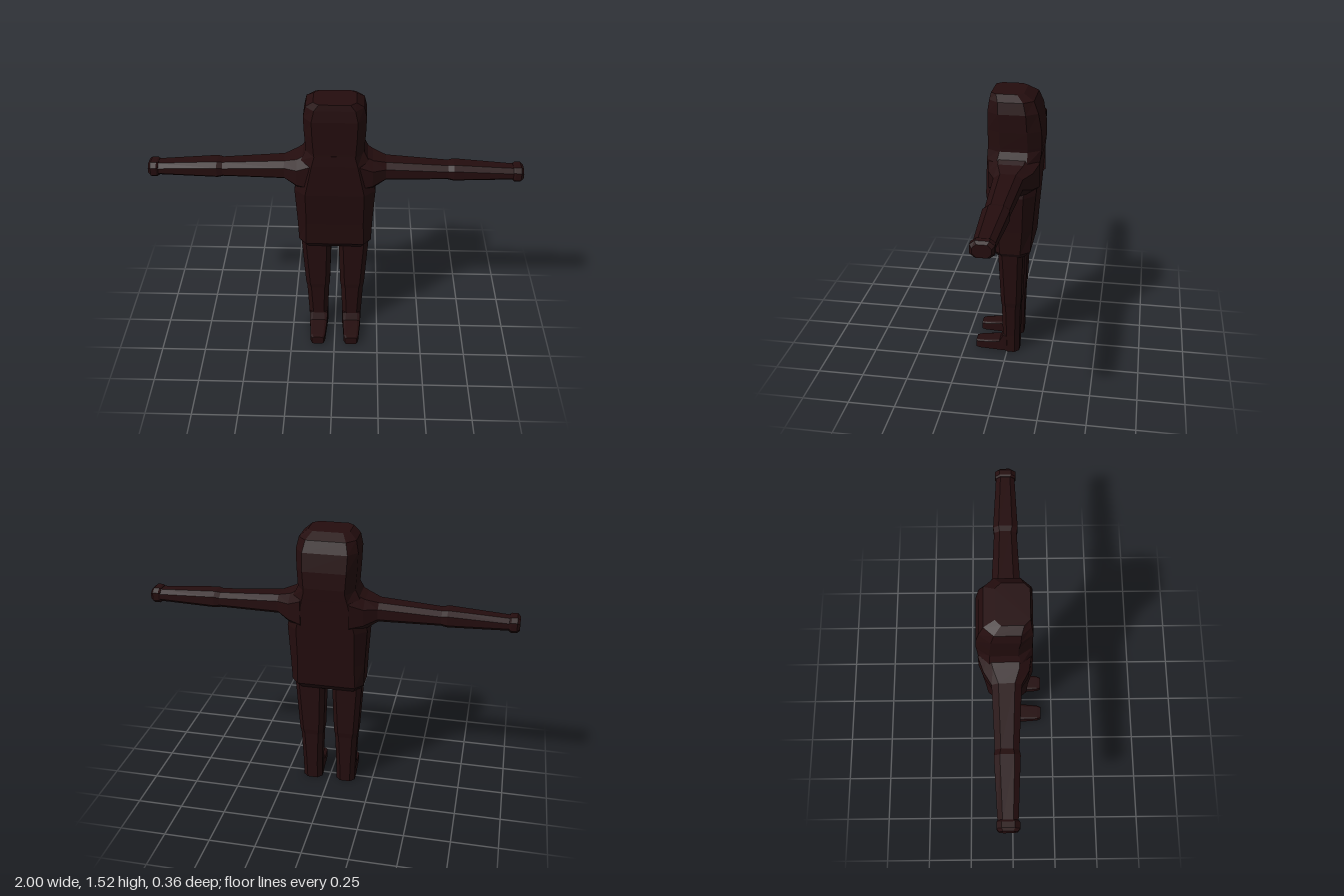
import * as THREE from 'three';

const dark = new THREE.MeshStandardMaterial({ color: 0x240d0e, flatShading: true });
dark.name = 'dark maroon';

// Lofts chamfered rectangles along an axis.
// Section: [t, a0, a1, b0, b1, chamferA, chamferB], where t, a, b are
// y, z, x for axis 'y'; x, y, z for axis 'x'; z, x, y for axis 'z'.
function loft(name, axis, sections) {
  const place = {
    x: (t, a, b) => [t, a, b],
    y: (t, a, b) => [b, t, a],
    z: (t, a, b) => [a, b, t],
  }[axis];
  const pos = [], idx = [];
  const list = [...sections].sort((p, q) => p[0] - q[0]);
  for (const [t, a0, a1, b0, b1, ca, cb] of list) {
    const ring = [
      [a1, b0 + cb], [a1, b1 - cb], [a1 - ca, b1], [a0 + ca, b1],
      [a0, b1 - cb], [a0, b0 + cb], [a0 + ca, b0], [a1 - ca, b0],
    ];
    for (const [a, b] of ring) pos.push(...place(t, a, b));
  }
  const last = (list.length - 1) * 8;
  for (let i = 0; i < last; i += 8) {
    for (let j = 0; j < 8; j++) {
      const k = (j + 1) % 8;
      idx.push(i + j, i + k, i + 8 + k, i + j, i + 8 + k, i + 8 + j);
    }
  }
  for (let j = 1; j < 7; j++) {
    idx.push(0, j + 1, j, last, last + j, last + j + 1);
  }
  const geo = new THREE.BufferGeometry();
  geo.setAttribute('position', new THREE.Float32BufferAttribute(pos, 3));
  geo.setIndex(idx);
  geo.computeVertexNormals();
  const mesh = new THREE.Mesh(geo, dark);
  mesh.name = name;
  return mesh;
}

// Upright section, symmetric in x
const level = (y, z0, z1, w, cz, cx) => [y, z0, z1, -w, w, cz, cx];

export function createModel() {
  const model = new THREE.Group();
  model.name = 'figure';

  // Torso, tapering to the hips and bevelled in at the bottom
  model.add(loft('torso', 'y', [
    level(0.615, -0.09, 0.045, 0.175, 0.03, 0.03),
    level(0.655, -0.13, 0.08, 0.2, 0.05, 0.04),
    level(0.79, -0.14, 0.088, 0.205, 0.05, 0.05),
    level(0.99, -0.157, 0.108, 0.217, 0.06, 0.06),
    level(1.17, -0.172, 0.108, 0.18, 0.06, 0.06),
    level(1.23, -0.179, 0.105, 0.15, 0.07, 0.045),
  ]));

  // Boxy head with a rounded back and crown
  model.add(loft('head', 'y', [
    level(1.18, -0.174, 0.105, 0.152, 0.07, 0.045),
    level(1.24, -0.18, 0.104, 0.154, 0.07, 0.045),
    level(1.33, -0.177, 0.104, 0.16, 0.07, 0.045),
    level(1.425, -0.16, 0.104, 0.163, 0.06, 0.045),
    level(1.485, -0.135, 0.096, 0.15, 0.05, 0.045),
    level(1.517, -0.08, 0.09, 0.11, 0.03, 0.03),
  ]));

  for (const [side, s] of [['left', 1], ['right', -1]]) {
    // Shoulder, upper arm, elbow step, forearm
    const arm = [
      [0.13, 0.98, 1.21, -0.172, 0.1, 0.05, 0.06],
      [0.2, 1.0, 1.17, -0.145, 0.088, 0.04, 0.05],
      [0.27, 1.04, 1.147, -0.103, 0.05, 0.025, 0.035],
      [0.6, 1.042, 1.126, -0.088, 0.034, 0.022, 0.03],
      [0.63, 1.038, 1.132, -0.093, 0.04, 0.022, 0.03],
      [0.96, 1.044, 1.112, -0.076, 0.025, 0.02, 0.025],
    ];
    // Blunt hand, slightly wider than the wrist
    const hand = [
      [0.945, 1.042, 1.116, -0.076, 0.026, 0.02, 0.025],
      [0.955, 1.036, 1.12, -0.082, 0.033, 0.02, 0.025],
      [0.985, 1.036, 1.12, -0.082, 0.033, 0.02, 0.025],
      [1.0, 1.044, 1.108, -0.07, 0.02, 0.02, 0.02],
    ];
    const out = list => list.map(([x, ...rest]) => [s * x, ...rest]);
    model.add(loft(side + 'Arm', 'x', out(arm)), loft(side + 'Hand', 'x', out(hand)));

    // Mirrors an inner and outer x distance to this side
    const span = (inner, outer) => (s > 0 ? [inner, outer] : [-outer, -inner]);
    const leg = [
      [0, -0.068, 0.024, 0.043, 0.15],
      [0.11, -0.07, 0.026, 0.042, 0.153],
      [0.3, -0.075, 0.03, 0.035, 0.162],
      [0.33, -0.08, 0.034, 0.03, 0.168],
      [0.64, -0.09, 0.045, 0.02, 0.187],
    ];
    model.add(loft(side + 'Leg', 'y', leg.map(([y, z0, z1, i, o]) =>
      [y, z0, z1, ...span(i, o), 0.025, 0.025])));

    // Foot wedge from ankle to toe
    const foot = [
      [-0.02, 0.045, 0.15, 0.11, 0.02],
      [0.024, 0.045, 0.15, 0.11, 0.02],
      [0.045, 0.047, 0.148, 0.066, 0.015],
      [0.16, 0.055, 0.14, 0.053, 0.01],
      [0.182, 0.064, 0.131, 0.05, 0.01],
    ];
    model.add(loft(side + 'Foot', 'z', foot.map(([z, i, o, h, c]) =>
      [z, ...span(i, o), 0, h, c, 0.006])));
  }
  return model;
}
